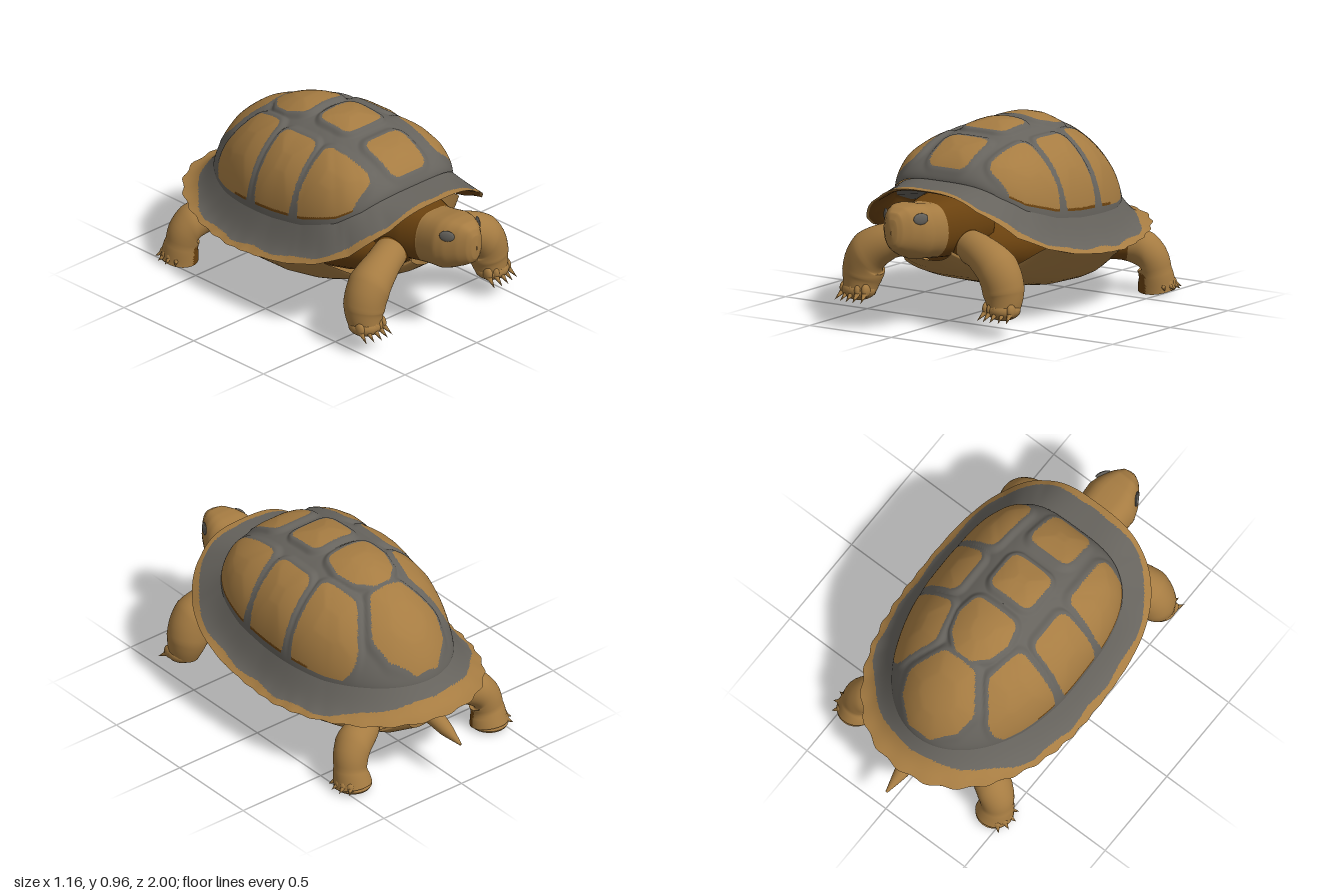
import * as THREE from 'three';

const mat = (name, color) => new THREE.MeshStandardMaterial({ name, color, side: THREE.DoubleSide });
const { clamp, lerp, smoothstep } = THREE.MathUtils;
const V = (x, y, z) => new THREE.Vector3(x, y, z);
const CZ = -0.05; // centre of the shell along z

// Piecewise linear lookup in rows [key, value], keys rising
function look(rows, k) {
  for (let i = 1; i < rows.length; i++) {
    const [a, b] = [rows[i - 1], rows[i]];
    if (k <= b[0]) return lerp(a[1], b[1], clamp((k - a[0]) / (b[0] - a[0]), 0, 1));
  }
  return rows[rows.length - 1][1];
}

// Grid surface from fn(u, v); pick(point, u, v) gives the material index of each face
function surface(name, nu, nv, fn, mats, pick = () => 0, wrap = true) {
  const cols = wrap ? nu : nu + 1, pos = [], lists = mats.map(() => []);
  for (let j = 0; j <= nv; j++)
    for (let i = 0; i < cols; i++) pos.push(...fn(i / nu, j / nv).toArray());
  for (let j = 0; j < nv; j++)
    for (let i = 0; i < nu; i++) {
      const a = j * cols + i, b = j * cols + (i + 1) % cols, c = a + cols, d = b + cols;
      for (const [tri, u, v] of [[[a, c, b], i + 0.33, j + 0.33], [[b, c, d], i + 0.67, j + 0.67]])
        lists[pick(fn(u / nu, v / nv), u / nu, v / nv)].push(...tri);
    }
  const g = new THREE.BufferGeometry();
  g.setAttribute('position', new THREE.Float32BufferAttribute(pos, 3));
  g.setIndex(lists.flat());
  let start = 0;
  lists.forEach((l, k) => { g.addGroup(start, l.length, k); start += l.length; });
  g.computeVertexNormals();
  const m = new THREE.Mesh(g, mats);
  m.name = name;
  return m;
}

// Tapered limb along a smooth path
function limb(name, pts, radii, mats, pick) {
  const curve = new THREE.CatmullRomCurve3(pts.map(p => V(...p))), N = 28;
  const fr = curve.computeFrenetFrames(N);
  const rows = radii.map((r, i) => [i / (radii.length - 1), r]);
  return surface(name, 48, N, (u, v) => {
    const k = Math.min(N, Math.round(v * N)), a = u * Math.PI * 2, r = look(rows, v);
    return curve.getPoint(v).addScaledVector(fr.normals[k], Math.cos(a) * r).addScaledVector(fr.binormals[k], Math.sin(a) * r);
  }, mats, pick);
}

function ball(name, m, p, s) {
  const b = new THREE.Mesh(new THREE.SphereGeometry(1, 24, 16), m);
  b.position.set(...p);
  b.scale.set(...s);
  b.name = name;
  return b;
}

function claw(m, from, to, r) {
  const a = V(...from), d = V(...to).sub(a);
  const c = new THREE.Mesh(new THREE.ConeGeometry(r, d.length(), 8), m);
  c.position.copy(a).addScaledVector(d, 0.5);
  c.quaternion.setFromUnitVectors(V(0, 1, 0), d.normalize());
  c.name = 'claw';
  return c;
}

// Shell outlines in plan: radius at angle th, measured from +z
const radius = (th, A, L, n) => (Math.abs(Math.sin(th) / A) ** n + Math.abs(Math.cos(th) / L) ** n) ** (-1 / n);
const domeR = th => Math.cos(th) > 0 ? radius(th, 0.455, 0.605, 3.4) : radius(th, 0.455, 0.695, 2);
const rimR = th => Math.cos(th) > 0 ? radius(th, 0.575, 0.78, 3) : radius(th, 0.575, 0.85, 2.15);
const scallop = th => 0.009 * smoothstep(-Math.cos(th), -0.7, 0.5) * Math.cos(34 * th);
const DOME_Y = [[-0.75, 0.48], [-0.4, 0.46], [0, 0.485], [0.2, 0.515], [0.4, 0.58], [0.5, 0.65], [0.56, 0.715]];
const RIM_Y = [[-0.9, 0.355], [-0.6, 0.33], [-0.4, 0.31], [-0.2, 0.3], [0, 0.315], [0.2, 0.345], [0.4, 0.4], [0.56, 0.475], [0.69, 0.61], [0.73, 0.69]];

// Scutes as (x, z) polygons, grown by a rounding radius; x is mirrored
const ROUND = 0.045;
const SCUTES = [
  [[-0.075, 0.345], [0.075, 0.345], [0.07, 0.475], [-0.07, 0.475]],
  [[-0.075, 0.035], [0.075, 0.035], [0.075, 0.155], [-0.075, 0.155]],
  [[-0.085, -0.135], [0.085, -0.135], [0.1, -0.2], [0.08, -0.27], [0.03, -0.32], [-0.03, -0.32], [-0.08, -0.27], [-0.1, -0.2]],
  [[-0.07, -0.43], [0.07, -0.43], [0.15, -0.54], [0.13, -0.61], [0.05, -0.683], [-0.05, -0.683], [-0.13, -0.61], [-0.15, -0.54]],
  [[0.27, 0.21], [0.41, 0.2], [0.41, 0.33], [0.35, 0.42], [0.26, 0.43]],
  [[0.28, 0.07], [0.425, 0.075], [0.425, -0.09], [0.28, -0.08]],
  [[0.24, -0.22], [0.41, -0.23], [0.37, -0.41], [0.3, -0.475], [0.21, -0.36]],
];
function scuteDistance(x, z) {
  x = Math.abs(x);
  let best = 9;
  for (const poly of SCUTES) {
    let d = 9, inside = false;
    poly.forEach(([ax, az], i) => {
      const [bx, bz] = poly[(i + 1) % poly.length], ex = bx - ax, ez = bz - az;
      const t = clamp(((x - ax) * ex + (z - az) * ez) / (ex * ex + ez * ez), 0, 1);
      d = Math.min(d, Math.hypot(x - ax - t * ex, z - az - t * ez));
      if ((az > z) !== (bz > z) && x < ax + ex * (z - az) / ez) inside = !inside;
    });
    best = Math.min(best, (inside ? -d : d) - ROUND);
  }
  return best;
}

export function createModel() {
  const g = new THREE.Group();
  const tan = mat('tan', 0xa67c42), brown = mat('dark brown', 0x6b420f), gray = mat('slate gray', 0x66635d);

  // Domed shell with raised scutes
  const onDome = (u, v) => {
    const th = u * Math.PI * 2, t = Math.sin(v * Math.PI / 2), R = domeR(th), s = Math.sin(th), c = Math.cos(th);
    return { x: s * R * t, z: CZ + c * R * t, t, c, base: look(DOME_Y, CZ + c * R) };
  };
  g.add(surface('shellDome', 300, 110, (u, v) => {
    const { x, z, t, c, base } = onDome(u, v);
    const p = V(x, base + (0.928 - base) * Math.max(0, 1 - t * t) ** (0.55 + (c > 0 ? 0.03 : 0.18) * c * c), z);
    const d = scuteDistance(x, z);
    const bump = (0.018 * (1 - smoothstep(d, 0.008, 0.042)) + 0.012 * clamp(-d / 0.09, 0, 1)) * (1 - t ** 10);
    return p.addScaledVector(V(x, p.y - 0.45, z - CZ).normalize(), bump);
  }, [gray, tan, brown], (p, u, v) => {
    const q = onDome(u, v);
    if (q.t > 0.995 || scuteDistance(q.x, q.z) > 0) return 0;
    return q.t > 0.991 && q.z > -0.3 ? 2 : 1;
  }));

  // Flared rim, top and underside
  const onRim = (th, s) => {
    const a = domeR(th) * 0.985, b = rimR(th), c = Math.cos(th);
    const r = lerp(a, b, s) + b * scallop(th) * s ** 4;
    const sag = 0.03 * (1 - smoothstep(c, 0.5, 0.9));
    const y = lerp(look(DOME_Y, CZ + c * a), look(RIM_Y, CZ + c * b), s) - sag * Math.sin(Math.PI * s);
    return V(Math.sin(th) * r, y + 0.008 * (1 - s), CZ + c * r);
  };
  g.add(surface('shellRim', 300, 28, (u, v) => onRim(u * Math.PI * 2, v), [gray, tan], (p, u, v) => {
    const th = u * Math.PI * 2, width = rimR(th) - domeR(th);
    const edge = 0.03 + 0.066 * smoothstep(-p.z, 0.45, 0.78) + 0.006 * Math.sin(13 * Math.abs(th - Math.PI));
    return (1 - v) * width < edge ? 1 : 0;
  }));
  g.add(surface('shellUnderside', 200, 20, (u, v) => {
    const th = u * Math.PI * 2, p = onRim(th, Math.max(0, 1 - v / 0.6));
    p.y -= 0.02 * Math.min(1, v * 8);
    const k = Math.max(0, (v - 0.6) / 0.4);
    return V(p.x * (1 - k), lerp(p.y, 0.56, k), lerp(p.z, CZ, k));
  }, [brown, tan, gray], (p, u, v) => {
    if (v < 0.05 || (p.z < -0.55 && v < 0.3)) return 1;
    return v > 0.6 && p.z > 0 ? 2 : 0;
  }));

  // Belly plate with bridges up to the rim
  const BELLY_Y = [[-0.68, 0.17], [-0.6, 0.13], [-0.4, 0.1], [-0.2, 0.09], [0, 0.1], [0.2, 0.13], [0.4, 0.185], [0.5, 0.22], [0.6, 0.27], [0.68, 0.33]];
  const BELLY_W = [[-0.68, 0.08], [-0.6, 0.19], [-0.5, 0.26], [-0.3, 0.32], [0, 0.335], [0.3, 0.32], [0.5, 0.27], [0.6, 0.21], [0.68, 0.14]];
  g.add(surface('bellyPlate', 48, 68, (u, v) => {
    const z = lerp(-0.68, 0.68, v), q = Math.abs(u * 2 - 1), side = Math.sign(u * 2 - 1);
    const w = look(BELLY_W, z), b = look(BELLY_Y, z), th = Math.atan2(0.53, z - CZ);
    const bridge = 1 - smoothstep(Math.abs(z), 0.35, 0.45);
    const f = Math.min(1, q / 0.6), k = Math.max(0, (q - 0.6) / 0.4);
    const topX = lerp(w, rimR(th) * Math.sin(th) - 0.04, bridge);
    const topY = lerp(b + 0.06, look(RIM_Y, z) + 0.01, bridge);
    return V(side * lerp(w * f, topX, k), lerp(b + 0.045 * f ** 3, topY, k ** 1.15), z);
  }, [tan], undefined, false));
  g.add(ball('innerBody', brown, [0, 0.36, -0.02], [0.36, 0.23, 0.58]));

  // Neck and head lofted along z: z, half width, bottom, top
  const HEAD = [[0.4, 0.21, 0.33, 0.66], [0.6, 0.172, 0.335, 0.645], [0.7, 0.14, 0.345, 0.63], [0.76, 0.142, 0.355, 0.637],
    [0.83, 0.145, 0.36, 0.65], [0.88, 0.127, 0.38, 0.652], [0.94, 0.09, 0.41, 0.645], [0.98, 0.055, 0.435, 0.62], [0.995, 0.03, 0.46, 0.585], [1, 0.001, 0.51, 0.53]];
  const col = i => HEAD.map(r => [r[0], r[i]]), [hw, hb, ht] = [1, 2, 3].map(col);
  const pw = (c, e) => Math.sign(c) * Math.abs(c) ** e;
  g.add(surface('headAndNeck', 40, 60, (u, v) => {
    const z = lerp(0.4, 1, Math.sin(v * Math.PI / 2)), a = u * Math.PI * 2, s = Math.sin(a);
    const b = look(hb, z), t = look(ht, z);
    return V(look(hw, z) * pw(Math.cos(a), s > 0 ? 0.55 : 0.8) * (1 - 0.12 * Math.abs(s)), (b + t) / 2 + (t - b) / 2 * pw(s, 0.75), z);
  }, [tan, brown], (p, u, v) => v < 1 / 3 ? 1 : 0));

  // Tail
  g.add(limb('tail', [[0, 0.3, -0.55], [0, 0.285, -0.76], [0, 0.25, -0.88], [0, 0.219, -0.995]], [0.075, 0.05, 0.036, 0.006], [tan, brown], (p, u, v) => v < 0.25 ? 1 : 0));

  // Eyes and legs, mirrored left and right
  for (const s of [1, -1]) {
    const eye = ball('eye', gray, [s * 0.108, 0.588, 0.897], [0.01, 0.03, 0.04]);
    eye.rotation.y = -s * 0.55;
    g.add(eye);

    const front = new THREE.Group();
    front.name = s > 0 ? 'leftFrontLeg' : 'rightFrontLeg';
    front.add(limb('leg', [[s * 0.13, 0.4, 0.54], [s * 0.27, 0.385, 0.605], [s * 0.395, 0.31, 0.635], [s * 0.43, 0.21, 0.635], [s * 0.44, 0.11, 0.655]],
      [0.085, 0.09, 0.112, 0.106, 0.08], [tan, brown], (p, u, v) => v < 3 / 28 ? 1 : 0));
    front.add(ball('foot', tan, [s * 0.44, 0.125, 0.655], [0.09, 0.055, 0.085]));
    for (let i = 0; i < 5; i++) {
      const x = s * (0.37 + i * 0.035), z = 0.715 - 0.012 * Math.abs(i - 1.5);
      front.add(ball('toe', tan, [x, 0.13, z], [0.019, 0.036, 0.03]));
      front.add(claw(tan, [x, 0.115, z + 0.01], [x + s * (i - 2) * 0.007, 0.075, z + 0.065], 0.016));
    }
    g.add(front);

    const rear = new THREE.Group();
    rear.name = s > 0 ? 'leftRearLeg' : 'rightRearLeg';
    rear.add(limb('leg', [[s * 0.18, 0.24, -0.47], [s * 0.31, 0.235, -0.59], [s * 0.41, 0.195, -0.64], [s * 0.44, 0.1, -0.66], [s * 0.44, 0.01, -0.68]],
      [0.08, 0.088, 0.095, 0.084, 0.098], [tan, brown], (p, u, v) => v < 0.25 || (p.y < 0.09 && p.z > -0.66 && Math.abs(p.x) < 0.435) ? 1 : 0));
    const sole = new THREE.Mesh(new THREE.CylinderGeometry(0.097, 0.09, 0.012, 24), tan);
    sole.position.set(s * 0.44, 0.008, -0.68);
    sole.name = 'sole';
    rear.add(sole);
    for (let i = 0; i < 4; i++) {
      const a = -0.75 + i * 0.46, dx = s * Math.cos(a), dz = Math.sin(a);
      const at = (r, y) => [s * 0.44 + dx * r, y, -0.68 + dz * r];
      rear.add(ball('toe', tan, at(0.075, 0.035), [0.024, 0.03, 0.022]));
      rear.add(claw(tan, at(0.08, 0.035), at(0.122, 0.012), 0.017));
    }
    g.add(rear);
  }
  return g;
}
